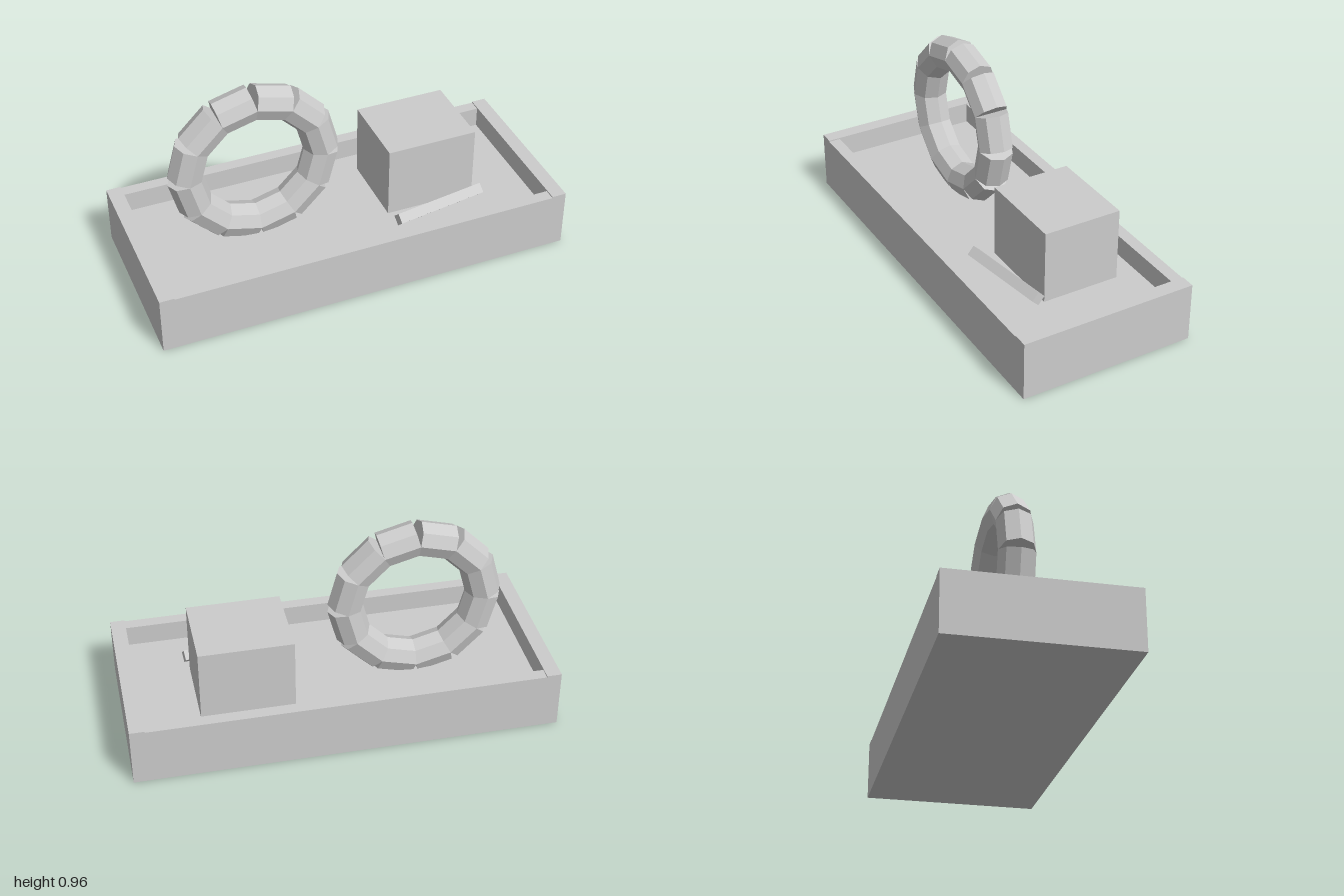
import * as THREE from 'three';

export function createModel() {
  const group = new THREE.Group();
  const grey = new THREE.MeshStandardMaterial({ color: 0xcccccc, flatShading: true });
  grey.name = 'light grey';

  const add = (name, geometry, x, y, z, parent = group) => {
    const mesh = new THREE.Mesh(geometry, grey);
    mesh.name = name;
    mesh.position.set(x, y, z);
    parent.add(mesh);
    return mesh;
  };
  const box = (name, w, h, d, x, y, z) => add(name, new THREE.BoxGeometry(w, h, d), x, y + h / 2, z);

  // Open tray: floor, two long walls, two slightly taller end walls
  const floorY = 0.18;
  const tray = { floor: box('trayFloor', 1.99, floorY, 0.84, 0, 0, 0) };
  for (const s of [-1, 1]) {
    box(s > 0 ? 'frontWall' : 'backWall', 1.86, 0.281, 0.058, 0, 0, s * 0.396);
    box(s > 0 ? 'leftEndWall' : 'rightEndWall', 0.07, 0.287, 0.85, s * 0.965, 0, 0);
  }

  // Block standing in the tray
  box('block', 0.44, 0.535 - floorY, 0.38, 0.44, floorY, -0.07);

  // Square bar lying on its edge, turned a little
  const bar = add('bar', new THREE.CylinderGeometry(0.034, 0.034, 0.463, 4).rotateZ(Math.PI / 2), 0.451, 0.224, 0.197);
  bar.rotation.y = 0.15;

  // Ring of twelve straight eight-sided segments
  const ring = new THREE.Group();
  ring.name = 'ring';
  ring.position.set(-0.387, 0.551, -0.043);
  group.add(ring);
  const segment = new THREE.CylinderGeometry(0.084, 0.084, 0.172, 8);
  for (let i = 0; i < 12; i++) {
    const a = ((i + 0.5) * Math.PI) / 6;
    add('ringSegment', segment, 0.32 * Math.cos(a), 0.32 * Math.sin(a), 0, ring).rotation.z = a;
  }

  tray.floor.scale.set(1, 1, 1);
  return group;
}
